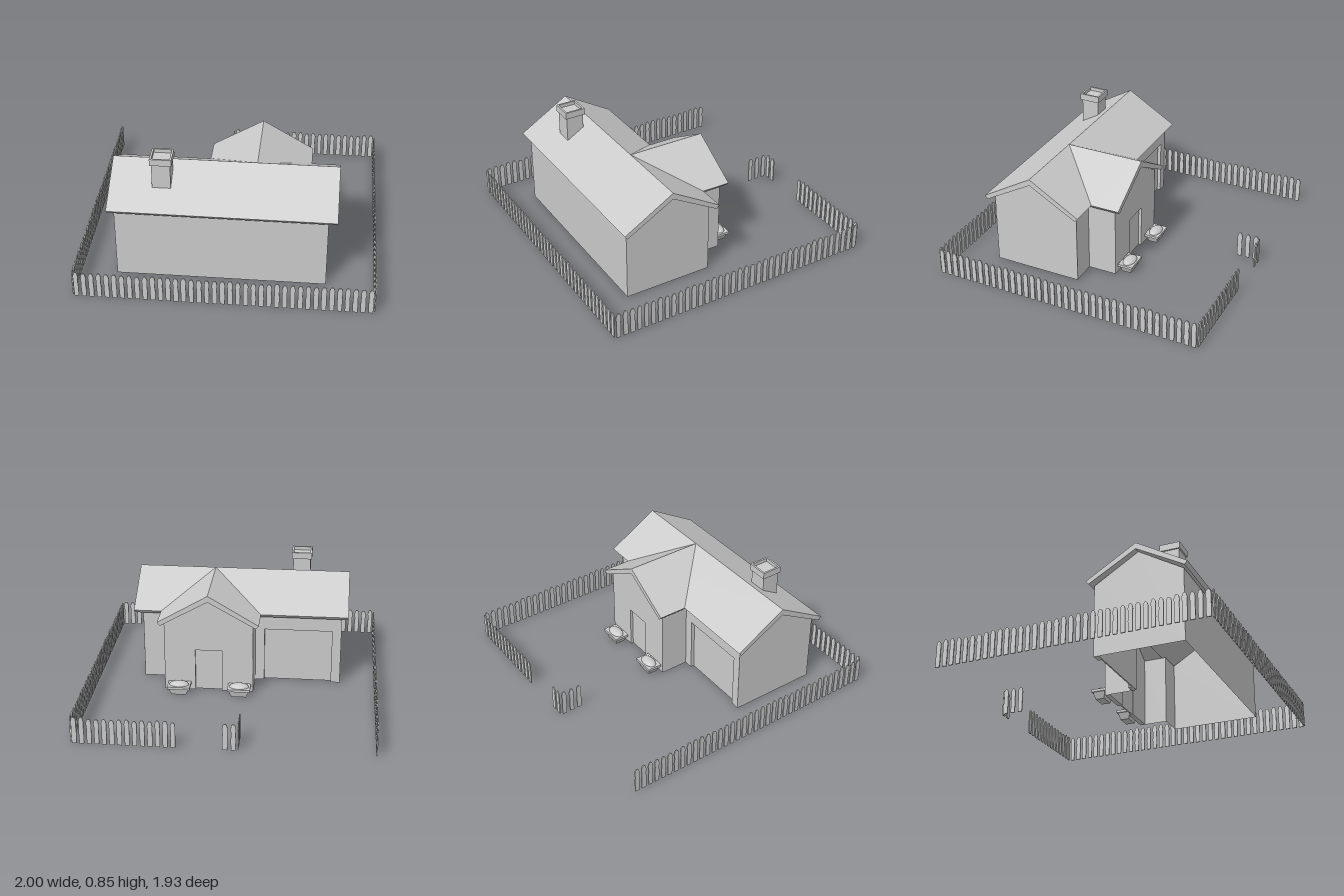
import * as THREE from 'three';

const mat = new THREE.MeshStandardMaterial({ color: 0xcccccc, side: THREE.DoubleSide });
const EAVE = 0.508, PEAK = 0.695; // wall heights at eave and gable peak
const RIDGE_Z = 0.377, WING_X = 0.18, HALF = 0.313;

function add(parent, name, geometry, x = 0, y = 0, z = 0, rotY = 0) {
  const m = new THREE.Mesh(geometry, mat);
  m.name = name;
  m.position.set(x, y, z);
  m.rotation.y = rotY;
  parent.add(m);
  return m;
}

const outline = pts => new THREE.Shape(pts.map(p => new THREE.Vector2(p[0], p[1])));
const extrude = (pts, depth) => new THREE.ExtrudeGeometry(outline(pts), { depth, bevelEnabled: false });

// Bent slab cross-section of a gable roof, ridge at x = 0
const roofProfile = [[-0.355, 0.53], [0, 0.74], [0.355, 0.53], [0.335, 0.506], [0, PEAK], [-0.335, 0.506]];

// Vertical rectangle between two ground points
function plainWall(parent, name, x0, z0, x1, z1) {
  const w = Math.hypot(x1 - x0, z1 - z0);
  add(parent, name, new THREE.PlaneGeometry(w, EAVE),
    (x0 + x1) / 2, EAVE / 2, (z0 + z1) / 2, Math.atan2(-(z1 - z0), x1 - x0));
}

function buildHouse() {
  const house = new THREE.Group();
  house.name = 'house';
  const zF = 0.69, zB = 0.067, xL = -0.745, xR = 0.67, wL = -0.135, wR = 0.493, zW = -0.135;
  const reveal = 0.035;

  // Walls, open underneath
  plainWall(house, 'frontWall', xL, zF, xR, zF);
  plainWall(house, 'backWallPlain', xR, zB, wR, zB);
  plainWall(house, 'wingSideWall', wR, zB, wR, zW);
  plainWall(house, 'wingSideWall', wL, zW, wL, zB);
  const gable = outline([[-HALF, 0], [HALF, 0], [HALF, EAVE], [0, PEAK], [-HALF, EAVE]]);
  for (const x of [xL, xR])
    add(house, 'gableWall', new THREE.ShapeGeometry(gable), x, 0, RIDGE_Z, Math.PI / 2);

  // Wing end wall with a recessed door
  add(house, 'wingGableWall', extrude([
    [-HALF, 0], [-0.095, 0], [-0.095, 0.31], [0.095, 0.31], [0.095, 0],
    [HALF, 0], [HALF, EAVE], [0, PEAK], [-HALF, EAVE]], reveal), WING_X, 0, zW);
  add(house, 'door', new THREE.BoxGeometry(0.19, 0.31, 0.01), WING_X, 0.155, zW + 0.025);

  // Back wall with a recessed garage door
  add(house, 'garageWall', extrude([
    [xL, 0], [-0.68, 0], [-0.68, 0.4], [-0.2, 0.4], [-0.2, 0],
    [wL, 0], [wL, EAVE], [xL, EAVE]], reveal), 0, 0, zB);
  add(house, 'garageDoor', new THREE.BoxGeometry(0.48, 0.4, 0.01), -0.44, 0.2, zB + 0.03);

  // Main roof runs along x
  add(house, 'mainRoof', extrude(roofProfile, 1.52), -0.79, 0, RIDGE_Z, Math.PI / 2);

  // Wing roof runs along z, its inner end cut along the valleys
  const wing = extrude(roofProfile, 1);
  const p = wing.attributes.position;
  for (let i = 0; i < p.count; i++)
    p.setZ(i, p.getZ(i) > 0.5 ? RIDGE_Z - Math.abs(p.getX(i)) : -0.178);
  wing.computeVertexNormals();
  add(house, 'wingRoof', wing, WING_X);
  return house;
}

// Square shaft with a hollow-topped cap
function buildChimney() {
  const g = new THREE.Group();
  g.name = 'chimney';
  add(g, 'chimneyShaft', new THREE.BoxGeometry(0.125, 0.225, 0.125), 0, 0.7125, 0);
  const s = 0.073, h = 0.06;
  const ring = outline([[-s, -s], [s, -s], [s, s], [-s, s]]);
  ring.holes.push(outline([[-h, -h], [-h, h], [h, h], [h, -h]]));
  const cap = new THREE.ExtrudeGeometry(ring, { depth: 0.047, bevelEnabled: false });
  cap.rotateX(-Math.PI / 2);
  add(g, 'chimneyCap', cap, 0, 0.803, 0);
  g.position.set(-0.441, 0, 0.505);
  return g;
}

// Flared box with a rim and a mound of soil
function buildPlanter(x) {
  const g = new THREE.Group();
  g.name = 'planter';
  const box = new THREE.CylinderGeometry(Math.SQRT1_2, 0.5, 0.05, 4).toNonIndexed();
  box.rotateY(Math.PI / 4);
  box.scale(0.145, 1, 0.09);
  box.computeVertexNormals();
  add(g, 'planterBox', box, 0, 0.025, 0);
  add(g, 'planterRim', new THREE.BoxGeometry(0.16, 0.018, 0.105), 0, 0.056, 0);
  const soil = new THREE.SphereGeometry(1, 16, 6, 0, Math.PI * 2, 0, Math.PI / 2);
  soil.scale(0.07, 0.027, 0.043);
  add(g, 'soil', soil, 0, 0.064, 0);
  g.position.set(x, 0, -0.193);
  return g;
}

// Rows of slightly uneven round-topped pickets
function buildFence() {
  const fence = new THREE.Group();
  fence.name = 'fence';
  let seed = 7;
  const rand = () => (seed = (seed * 16807) % 2147483647) / 2147483647;
  const picket = extrude([[-0.015, 0], [0.015, 0], [0.017, 0.07], [0.014, 0.12], [0.018, 0.155],
    [0.013, 0.178], [0.005, 0.188], [-0.005, 0.188], [-0.013, 0.178], [-0.018, 0.155],
    [-0.016, 0.12], [-0.017, 0.07]], 0.008);
  picket.translate(0, 0, -0.004);
  const E = 0.995, Z = 0.96;
  const runs = [
    [-E, Z, E, Z], [-E, -Z, -E, Z], [E, -Z, E, Z],
    [0.295, -Z, E, -Z], [-0.1, -Z, 0.01, -Z], [-0.1, -Z, -0.1, -0.785],
  ];
  for (const [x0, z0, x1, z1] of runs) {
    const len = Math.hypot(x1 - x0, z1 - z0);
    const n = Math.max(2, Math.round(len / 0.051));
    for (let i = 0; i < n; i++) {
      const t = (i + 0.5) / n;
      const m = add(fence, 'picket', picket, x0 + (x1 - x0) * t, 0, z0 + (z1 - z0) * t,
        x0 === x1 ? Math.PI / 2 : 0);
      m.scale.set(0.95 + 0.1 * rand(), 0.96 + 0.06 * rand(), 1);
    }
  }
  return fence;
}

export function createModel() {
  const model = new THREE.Group();
  model.name = 'houseWithFence';
  model.add(buildHouse(), buildChimney(), buildPlanter(-0.04), buildPlanter(0.385), buildFence());
  return model;
}
